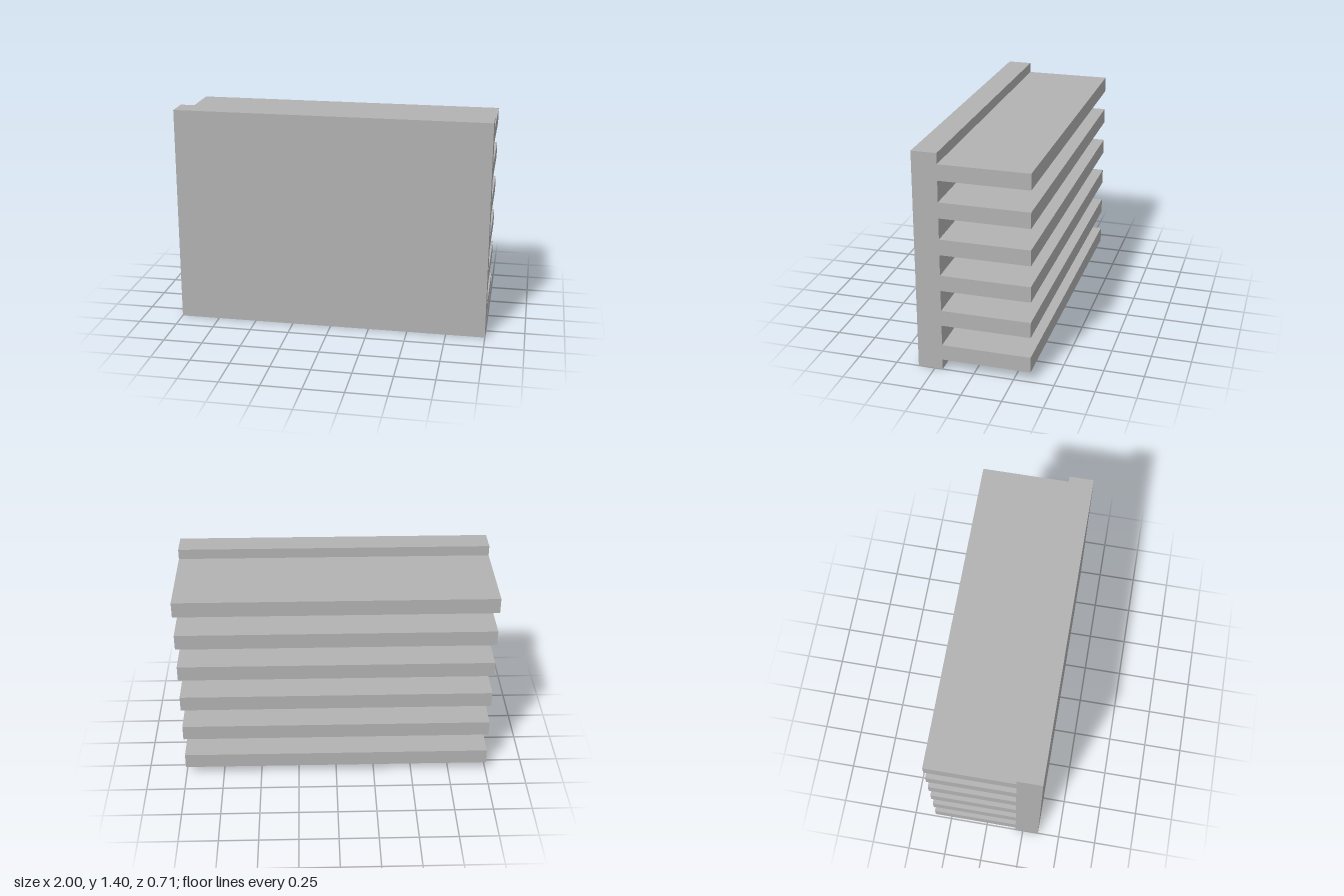
import * as THREE from 'three';

const WIDTH = 2, HEIGHT = 1.4;
const FRONT = 0.3556, PLATE_BACK = 0.2, FIN_BACK = -0.3556;
const FIN_COUNT = 6, FIN_THICKNESS = 0.1;

export function createModel() {
  const group = new THREE.Group();
  group.name = 'heatSink';

  const gray = new THREE.MeshStandardMaterial({ color: 0xb2b2b2 });
  gray.name = 'light gray';

  // Comb-shaped side profile, drawn with -z to the right and y up
  const profile = new THREE.Shape();
  profile.moveTo(-FRONT, 0);
  profile.lineTo(-PLATE_BACK, 0);
  const pitch = HEIGHT / FIN_COUNT;
  for (let i = 0; i < FIN_COUNT; i++) {
    const middle = (i + 0.5) * pitch;
    const low = middle - FIN_THICKNESS / 2, high = middle + FIN_THICKNESS / 2;
    profile.lineTo(-PLATE_BACK, low);
    profile.lineTo(-FIN_BACK, low);
    profile.lineTo(-FIN_BACK, high);
    profile.lineTo(-PLATE_BACK, high);
  }
  profile.lineTo(-PLATE_BACK, HEIGHT);
  profile.lineTo(-FRONT, HEIGHT);
  profile.closePath();

  // Base plate and fins as one extrusion along x
  const geometry = new THREE.ExtrudeGeometry(profile, { depth: WIDTH, bevelEnabled: false });
  geometry.translate(0, 0, -WIDTH / 2);
  geometry.rotateY(Math.PI / 2);

  const body = new THREE.Mesh(geometry, gray);
  body.name = 'finnedPlate';
  group.add(body);
  return group;
}
